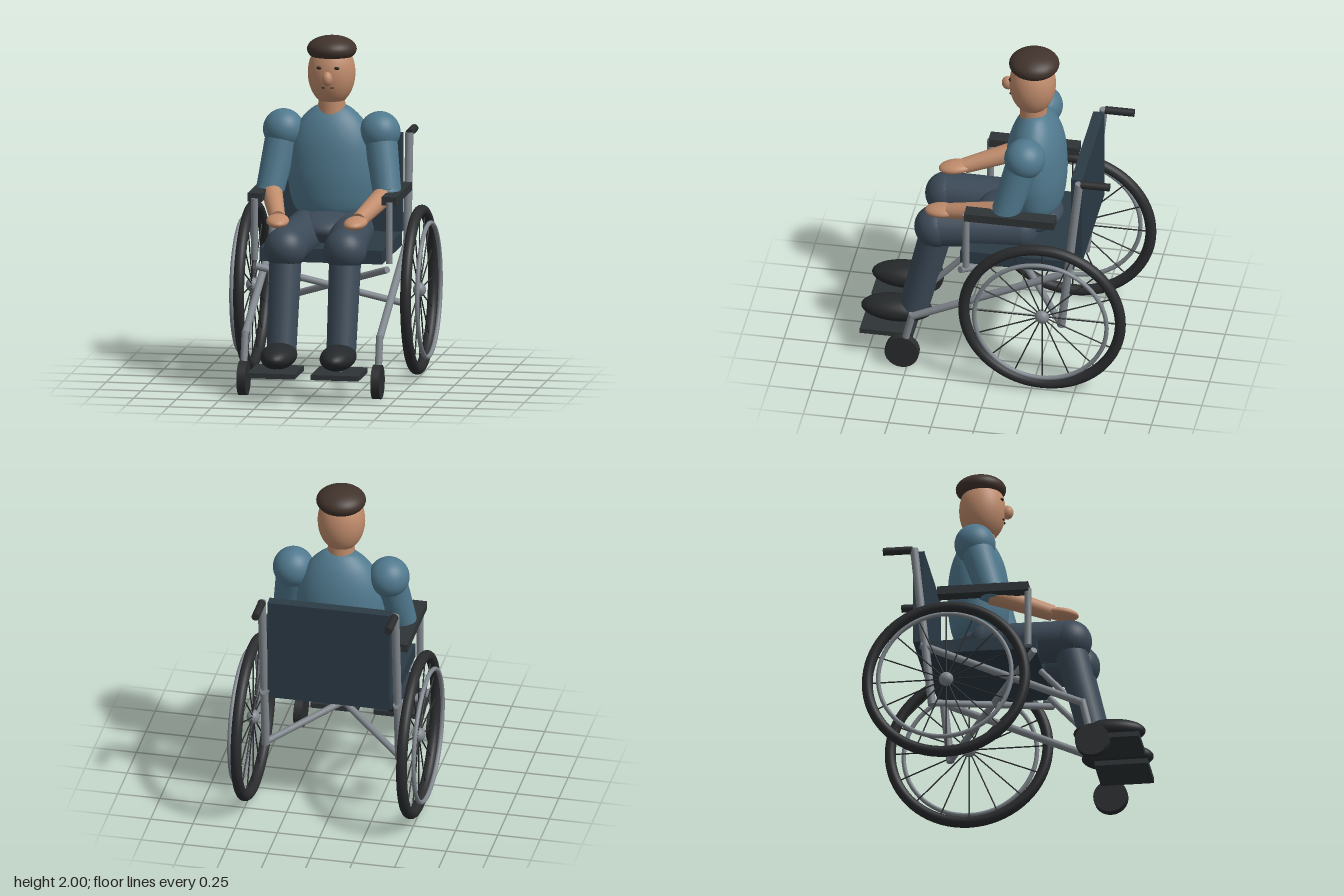
import * as THREE from 'three';

const mat = (color) => new THREE.MeshStandardMaterial({ color });
const V = (p) => new THREE.Vector3(...p);

export function createModel() {
  const model = new THREE.Group();
  const metal = mat(0x80878d), rubber = mat(0x2a2c2e), pad = mat(0x2e3436), fabric = mat(0x2c3b46);
  const skin = mat(0xc08c6c), hairMat = mat(0x41332c), shirt = mat(0x50798e);
  const trousers = mat(0x3c4a58), shoeMat = mat(0x26292b), dark = mat(0x2a201c);

  const add = (name, geometry, material, pos = [0, 0, 0], parent = model) => {
    const mesh = new THREE.Mesh(geometry, material);
    mesh.name = name;
    mesh.position.set(...pos);
    parent.add(mesh);
    return mesh;
  };
  const box = (name, size, pos, material, parent) =>
    add(name, new THREE.BoxGeometry(...size), material, pos, parent);
  const ball = (name, radii, pos, material, parent) =>
    add(name, new THREE.SphereGeometry(1, 36, 24).scale(...radii), material, pos, parent);
  // Round bar from a to b, with a radius at each end
  const rod = (name, a, b, ra, rb, material, parent) => {
    const dir = V(b).sub(V(a));
    const mesh = add(name, new THREE.CylinderGeometry(rb, ra, dir.length(), 24), material,
      V(a).add(V(b)).multiplyScalar(0.5).toArray(), parent);
    mesh.quaternion.setFromUnitVectors(V([0, 1, 0]), dir.normalize());
    return mesh;
  };

  // Seat and backrest
  box('seat', [0.72, 0.08, 0.66], [0, 0.77, -0.135], fabric);
  box('backrest', [0.72, 0.575, 0.065], [0, 1.0975, -0.488], fabric);

  // Head
  ball('head', [0.138, 0.192, 0.135], [0, 1.785, -0.165], skin);
  ball('hair', [0.144, 0.077, 0.146], [0, 1.923, -0.174], hairMat);
  ball('nose', [0.03, 0.042, 0.036], [0, 1.77, -0.02], skin);
  add('neck', new THREE.CylinderGeometry(0.077, 0.08, 0.14, 32), skin, [0, 1.585, -0.17]);

  // Torso: a rounded profile, flattened front to back
  const profile = [[0, 0.93], [0.12, 0.94], [0.2, 0.97], [0.235, 1.03], [0.255, 1.13], [0.26, 1.22],
    [0.25, 1.34], [0.225, 1.43], [0.18, 1.51], [0.12, 1.57], [0.07, 1.595], [0, 1.6]];
  const curve = new THREE.SplineCurve(profile.map(([x, y]) => new THREE.Vector2(x, y)));
  const outline = curve.getPoints(44).map((p) => new THREE.Vector2(Math.max(0, p.x), p.y));
  add('torso', new THREE.LatheGeometry(outline, 48).scale(1, 1, 0.68), shirt, [0, 0, -0.188]);
  ball('pelvis', [0.22, 0.095, 0.25], [0, 0.9, -0.095], trousers);

  for (const s of [1, -1]) {
    const side = new THREE.Group();
    side.name = s > 0 ? 'leftSide' : 'rightSide';
    model.add(side);
    const at = (x, y, z) => [s * x, y, z];

    // Face
    ball('eye', [0.016, 0.009, 0.01], at(0.052, 1.83, -0.044), dark, side);
    ball('mouthCorner', [0.012, 0.004, 0.008], at(0.025, 1.715, -0.041), dark, side);

    // Arm and hand
    ball('shoulder', [0.119, 0.119, 0.119], at(0.283, 1.445, -0.17), shirt, side);
    rod('upperArm', at(0.285, 1.43, -0.165), at(0.342, 1.11, -0.07), 0.098, 0.083, shirt, side);
    ball('elbow', [0.08, 0.06, 0.08], at(0.342, 1.11, -0.07), shirt, side);
    rod('forearm', at(0.335, 1.1, -0.07), at(0.238, 0.998, 0.28), 0.062, 0.046, skin, side);
    const hand = ball('hand', [0.066, 0.034, 0.098], at(0.229, 0.992, 0.33), skin, side);
    hand.rotation.set(0.12, -s * 0.15, 0);

    // Leg and shoe
    rod('thigh', at(0.13, 0.865, -0.13), at(0.175, 0.845, 0.37), 0.125, 0.12, trousers, side);
    ball('hip', [0.125, 0.125, 0.125], at(0.13, 0.865, -0.13), trousers, side).scale.z = 0.8;
    ball('knee', [0.125, 0.125, 0.125], at(0.175, 0.84, 0.372), trousers, side);
    rod('shin', at(0.175, 0.84, 0.36), at(0.175, 0.27, 0.5), 0.094, 0.086, trousers, side);
    ball('shoe', [0.102, 0.073, 0.21], at(0.174, 0.248, 0.6), shoeMat, side);

    // Rear wheel with spokes and push rim
    const wheel = new THREE.Group();
    wheel.name = 'rearWheel';
    wheel.position.set(s * 0.49, 0.5, -0.31);
    side.add(wheel);
    const ring = (name, r, tube, x, material) =>
      add(name, new THREE.TorusGeometry(r, tube, 16, 72).rotateY(Math.PI / 2), material, [x, 0, 0], wheel);
    ring('tyre', 0.46, 0.032, 0, rubber);
    ring('pushRim', 0.389, 0.013, s * 0.055, metal);
    ball('hub', [0.038, 0.042, 0.042], [0, 0, 0], metal, wheel);
    for (let i = 0; i < 16; i++) {
      const a = (i / 16) * Math.PI * 2;
      rod('spoke', [0, 0, 0], [0, 0.45 * Math.cos(a), 0.45 * Math.sin(a)], 0.004, 0.004, rubber, wheel);
    }

    // Side frame, push handle and armrest
    rod('rearPost', at(0.395, 0.385, -0.405), at(0.395, 1.385, -0.51), 0.024, 0.024, metal, side);
    rod('pushHandle', at(0.393, 1.38, -0.52), at(0.393, 1.38, -0.69), 0.023, 0.023, rubber, side);
    rod('lowerTube', at(0.395, 0.77, -0.47), at(0.395, 0.345, 0.47), 0.022, 0.022, metal, side);
    rod('casterFork', at(0.395, 0.36, 0.47), at(0.395, 0.1, 0.53), 0.021, 0.021, metal, side);
    rod('armrestPost', at(0.395, 0.73, 0.155), at(0.395, 1.09, 0.155), 0.02, 0.02, metal, side);
    box('armrest', [0.085, 0.05, 0.53], at(0.393, 1.095, -0.105), pad, side);
    rod('crossBrace', at(0.39, 0.7, 0.19), at(-0.39, 0.4, -0.4), 0.02, 0.02, metal, side);

    // Front caster
    rod('caster', at(0.368, 0.1, 0.53), at(0.418, 0.1, 0.53), 0.1, 0.1, rubber, side);

    // Footrest
    rod('footrestHanger', at(0.187, 0.66, 0.2), at(0.187, 0.17, 0.65), 0.018, 0.018, metal, side);
    box('footplate', [0.28, 0.03, 0.31], at(0.187, 0.16, 0.637), pad, side);
  }
  return model;
}
